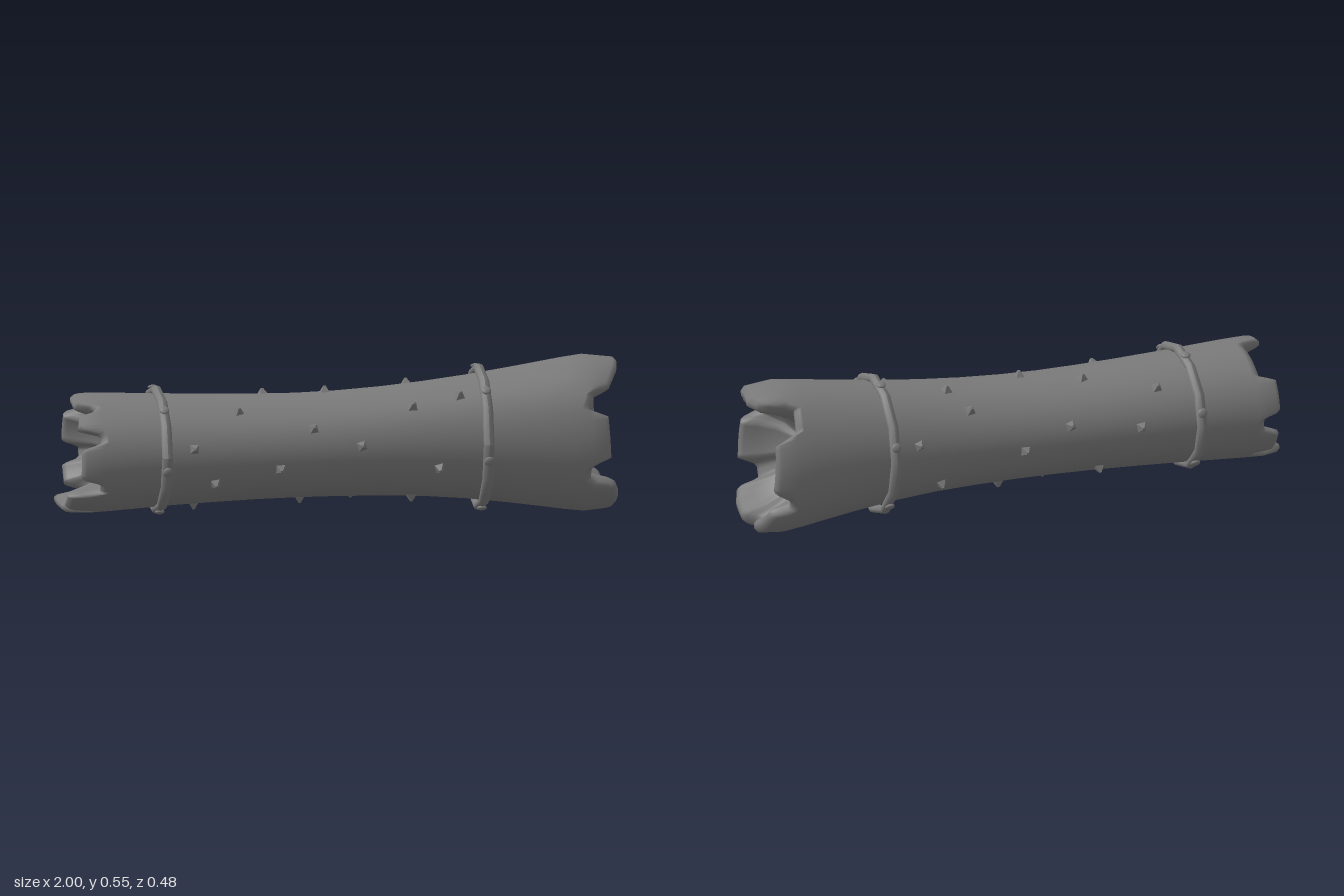
import * as THREE from 'three';

const material = new THREE.MeshStandardMaterial({ color: 0x7a7a7a });
const DEG = Math.PI / 180;

// Outline along the length: x, top y, bottom y, back z, front z
const profile = [
  [-1.0, 0.45, 0.045, -0.225, 0.21], [-0.93, 0.462, 0.036, -0.232, 0.217],
  [-0.82, 0.458, 0.042, -0.225, 0.215], [-0.6, 0.45, 0.057, -0.214, 0.205],
  [-0.35, 0.442, 0.07, -0.2, 0.2], [-0.1, 0.442, 0.076, -0.185, 0.196],
  [0.1, 0.453, 0.075, -0.176, 0.193], [0.3, 0.473, 0.068, -0.172, 0.193],
  [0.5, 0.498, 0.052, -0.176, 0.2], [0.7, 0.53, 0.024, -0.19, 0.212],
  [0.86, 0.556, 0.0, -0.2, 0.22], [0.95, 0.55, 0.008, -0.192, 0.213],
  [1.0, 0.538, 0.02, -0.18, 0.2],
];

// Broken rims: [degrees from the top towards the front, x of the edge]
const rightRim = [
  [-180, 0.92], [-174, 0.93], [-168, 0.97], [-140, 0.96], [-130, 0.95], [-122, 0.88],
  [-114, 0.89], [-106, 0.95], [-66, 0.94], [-57, 0.86], [-36, 0.85], [-28, 0.97],
  [-15, 1.0], [5, 0.99], [20, 0.98], [34, 0.96], [46, 0.94], [54, 0.88], [66, 0.86],
  [72, 0.93], [105, 0.94], [112, 0.87], [124, 0.87], [130, 0.96], [145, 0.98],
  [166, 0.98], [173, 0.93], [180, 0.92],
];
const leftRim = [
  [-180, -0.99], [-156, -1.0], [-150, -0.89], [-138, -0.89], [-132, -0.95], [-110, -0.95],
  [-104, -0.89], [-92, -0.89], [-86, -0.95], [-54, -0.95], [-48, -0.89], [-4, -0.885],
  [2, -0.96], [26, -0.96], [32, -0.89], [38, -0.9], [43, -0.95], [58, -0.96],
  [64, -0.88], [73, -0.88], [79, -0.95], [110, -0.95], [116, -0.88], [126, -0.88],
  [131, -0.99], [155, -0.99], [160, -0.89], [170, -0.89], [175, -0.99], [180, -0.99],
];

function sample(table, key, column) {
  let i = 1;
  while (i < table.length - 1 && table[i][0] < key) i++;
  const a = table[i - 1], b = table[i];
  const t = THREE.MathUtils.clamp((key - a[0]) / (b[0] - a[0]), 0, 1);
  return a[column] + (b[column] - a[column]) * t;
}

// Point on the body at x and angle, scaled about the cross-section centre
function surfacePoint(x, deg, scale = 1, extra = 0) {
  const [top, bottom, back, front] = [1, 2, 3, 4].map((c) => sample(profile, x, c));
  const ry = ((top - bottom) / 2) * scale + extra;
  const rz = ((front - back) / 2) * scale + extra;
  return new THREE.Vector3(x,
    (top + bottom) / 2 + ry * Math.cos(deg * DEG),
    (front + back) / 2 + rz * Math.sin(deg * DEG));
}

// Closed body: left hollow, left rim, outside, right rim, right hollow
function createBody() {
  const sides = 120;
  const stations = [-0.82, -0.7, -0.6, -0.45, -0.3, -0.15, 0, 0.15, 0.3, 0.45, 0.6, 0.72, 0.8];
  // rows from the centre of the hollow to the outside; the teeth run inwards as ridges
  const hollow = (rim, dir, hub) => {
    const edge = (d) => sample(rim, d, 1);
    const blend = (t) => (d) => hub + (edge(d) - hub) * t;
    return [
      [() => hub, 0],
      [blend(0.2), 0.35],
      [blend(0.45), 0.62],
      [blend(0.75), 0.76],
      [(d) => edge(d) - dir * 0.012, 0.83],
      [edge, 0.88],
      [edge, 0.95],
      [(d) => edge(d) - dir * 0.015, 1],
      [(d) => dir * Math.min(0.87, Math.abs(edge(d)) - 0.025), 1],
    ];
  };
  const rows = [
    ...hollow(leftRim, -1, -0.78),
    ...stations.map((x) => [() => x, 1]),
    ...hollow(rightRim, 1, 0.73).reverse(),
  ];
  const positions = [], index = [];
  rows.forEach(([edge, scale], i) => {
    for (let j = 0; j < sides; j++) {
      const deg = -180 + (j * 360) / sides;
      positions.push(...surfacePoint(edge(deg), deg, scale).toArray());
      if (i === rows.length - 1) continue;
      const a = i * sides + j, b = i * sides + ((j + 1) % sides);
      index.push(a, b, a + sides, b, b + sides, a + sides);
    }
  });
  const geometry = new THREE.BufferGeometry();
  geometry.setAttribute('position', new THREE.Float32BufferAttribute(positions, 3));
  geometry.setIndex(index);
  geometry.computeVertexNormals();
  const mesh = new THREE.Mesh(geometry, material);
  mesh.name = 'body';
  return mesh;
}

// Twelve-sided band with six flat round rivets
function createBand(x, cy, ry, cz, rz, name) {
  const group = new THREE.Group();
  group.name = name;
  const ring = new THREE.TorusGeometry(1, 0.016, 8, 12);
  const pos = ring.attributes.position;
  for (let i = 0; i < pos.count; i++) {
    const px = pos.getX(i), py = pos.getY(i), pz = pos.getZ(i);
    const r = Math.hypot(px, py), a = Math.atan2(py, px), d = r - 1;
    pos.setXYZ(i, pz * 1.2, (ry + d) * Math.sin(a), (rz + d) * Math.cos(a));
  }
  // the axis swap mirrors the ring, so the winding is flipped back
  const order = ring.index.array;
  for (let i = 0; i < order.length; i += 3) [order[i], order[i + 1]] = [order[i + 1], order[i]];
  ring.computeVertexNormals();
  const band = new THREE.Mesh(ring, material);
  band.name = 'band';
  group.add(band);
  for (let k = 0; k < 6; k++) {
    const a = (43 + k * 60) * DEG;
    const rivet = new THREE.Mesh(new THREE.SphereGeometry(0.018, 10, 8), material);
    rivet.name = 'rivet';
    rivet.scale.y = 0.45;
    rivet.rotation.x = a;
    rivet.position.set(0, (ry + 0.01) * Math.cos(a), (rz + 0.01) * Math.sin(a));
    group.add(rivet);
  }
  group.position.set(x, cy, cz);
  return group;
}

// Small four-sided spikes: [x, degrees from the top towards the front]
const studs = [
  [-0.55, 82], [-0.47, 122], [-0.38, 40], [-0.24, 108], [-0.12, 64], [0.05, 86],
  [0.24, 47], [0.41, 40], [0.33, 114], [0.25, 165], [-0.52, 175], [-0.14, 178],
  [-0.05, 0], [0.25, -20], [-0.26, -20], [-0.51, -45], [-0.43, -85], [-0.17, -75],
  [0.0, -98], [0.19, -48], [0.4, -80], [0.05, -165], [-0.3, -140], [0.3, -130],
];

function createStuds() {
  const group = new THREE.Group();
  group.name = 'studs';
  const geometry = new THREE.CylinderGeometry(0.005, 0.026, 0.028, 4).toNonIndexed();
  geometry.computeVertexNormals();
  studs.forEach(([x, deg], i) => {
    const stud = new THREE.Mesh(geometry, material);
    stud.name = 'stud';
    stud.position.copy(surfacePoint(x, deg, 1, 0.008));
    stud.rotation.x = deg * DEG;
    stud.rotateY(Math.PI / 4 + (i % 3) * 0.15);
    group.add(stud);
  });
  return group;
}

export function createModel() {
  const model = new THREE.Group();
  model.name = 'hollowLog';
  model.add(
    createBody(),
    createBand(-0.65, 0.254, 0.212, -0.004, 0.226, 'rightBand'),
    createBand(0.5, 0.271, 0.245, 0.008, 0.208, 'leftBand'),
    createStuds(),
  );
  return model;
}
